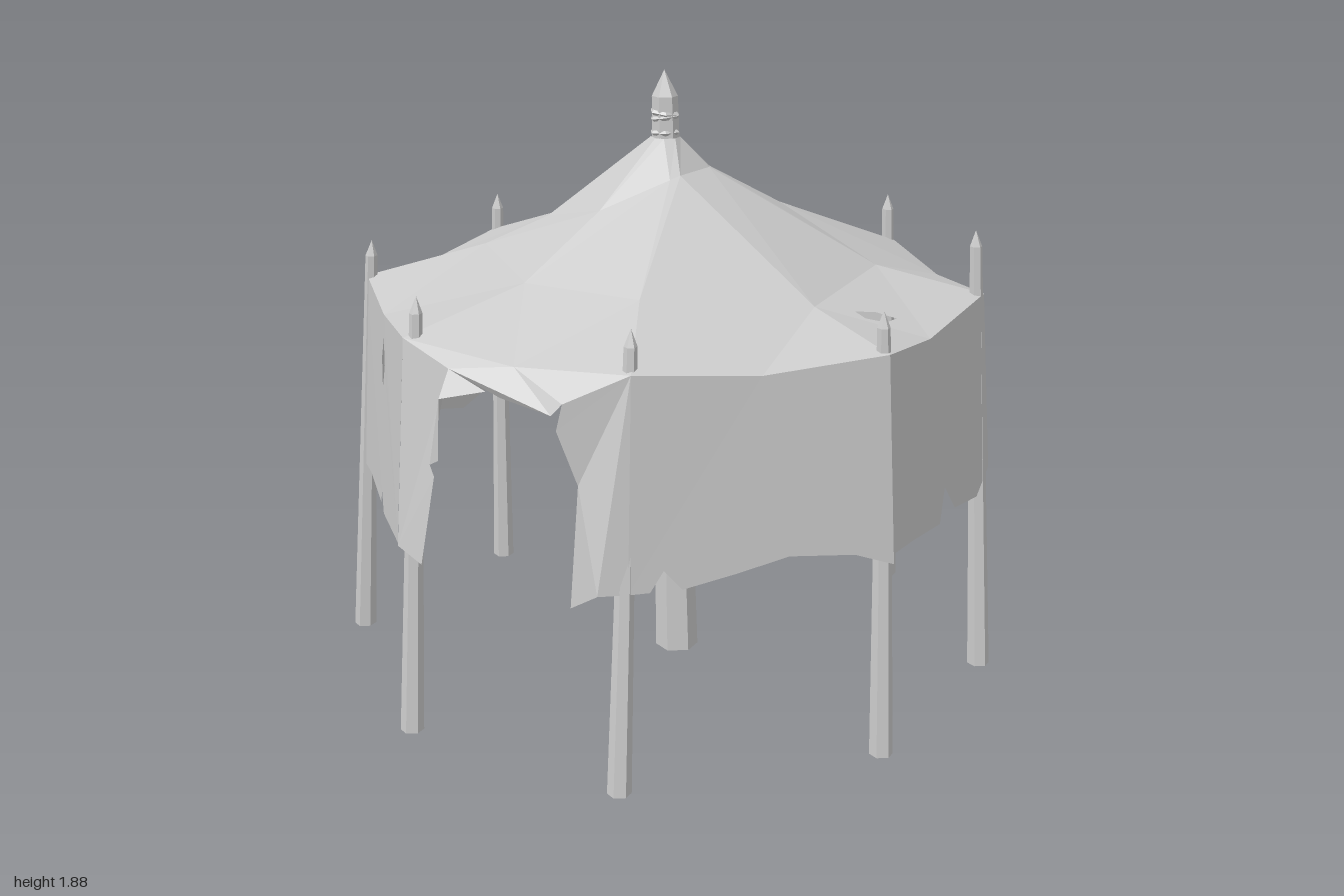
import * as THREE from 'three';

const EAVE = 1.21, HEM = 0.6;
const V = (x, y, z) => new THREE.Vector3(x, y, z);
const cloth = new THREE.MeshStandardMaterial({ color: 0xcccccc, flatShading: true, side: THREE.DoubleSide });
const wood = new THREE.MeshStandardMaterial({ color: 0xcccccc, flatShading: true });

// Corners of the eight-sided canopy (x, z), clockwise from the back: eave and hem
const eave = [[-0.33, -0.96], [0.42, -0.94], [0.92, -0.4], [0.9, 0.35], [0.35, 0.85], [-0.4, 0.82], [-0.9, 0.27], [-0.88, -0.47]];
const hem = [[-0.34, -1.0], [0.43, -0.98], [0.96, -0.41], [0.94, 0.37], [0.36, 0.89], [-0.41, 0.87], [-0.93, 0.28], [-0.91, -0.49]];

// Sagging roof folds (x, y, z): upper and lower ring
const upper = [[0, 1.53, -0.3], [0.1, 1.58, -0.15], [0.11, 1.58, -0.13], [0.09, 1.58, 0.03], [0.07, 1.57, 0.06],
  [-0.09, 1.49, 0.21], [-0.35, 1.42, 0.07], [-0.2, 1.54, -0.16]];
const lower = [[-0.2, 1.35, -0.66], [0.23, 1.43, -0.4], [0.59, 1.28, -0.33], [0.6, 1.27, 0.18], [0.2, 1.32, 0.51],
  [-0.19, 1.32, 0.49], [-0.55, 1.32, 0.12], [-0.48, 1.36, -0.26]];

// Where each eave sags between its two corners
const sagAt = k => (k === 2 ? 0.6 : 0.5);

// Cuts a flat outline with holes into triangles and places them with map()
function sheet(outline, holes, map, out) {
  const flat = list => list.map(p => new THREE.Vector2(p[0], p[1]));
  const all = [outline, ...holes].flat().map(map);
  for (const f of THREE.ShapeUtils.triangulateShape(flat(outline), holes.map(flat)))
    for (const i of f) out.push(all[i]);
}

function clothMesh(name, points) {
  const geo = new THREE.BufferGeometry().setFromPoints(points);
  geo.computeVertexNormals();
  const mesh = new THREE.Mesh(geo, cloth);
  mesh.name = name;
  return mesh;
}

// Point on wall k: u runs along the wall, y is the height
function wallPoint(k, u, y) {
  const n = (k + 1) % 8, t = (EAVE - y) / (EAVE - HEM);
  const mix = i => THREE.MathUtils.lerp(
    THREE.MathUtils.lerp(eave[k][i], eave[n][i], u),
    THREE.MathUtils.lerp(hem[k][i], hem[n][i], u), t);
  return V(mix(0), y, mix(1));
}

// Triangle of roof cloth, with an optional tear given in x, z
function roofFace(a, b, c, out, tear) {
  if (!tear) { out.push(a, c, b); return; }
  const n = b.clone().sub(a).cross(c.clone().sub(a));
  const height = (x, z) => a.y - (n.x * (x - a.x) + n.z * (z - a.z)) / n.y;
  sheet([a, b, c].map(p => [p.x, p.z]), [tear], p => V(p[0], height(p[0], p[1]), p[1]), out);
}

function makeRoof() {
  const out = [];
  const peak = lower.map(p => {
    const d = V(p[0] + 0.01, 0, p[2] + 0.07).normalize();
    return V(-0.01 + d.x * 0.045, 1.675, -0.07 + d.z * 0.045);
  });
  const up = upper.map(p => V(...p)), low = lower.map(p => V(...p));
  const topTear = [[-0.145, -0.52], [-0.1, -0.46], [-0.07, -0.36], [-0.11, -0.34], [-0.15, -0.44]];
  const eaveTears = {
    0: [[0.02, -0.86], [0.03, -0.91], [0.052, -0.88]],
    2: [[0.69, 0.09], [0.73, 0.03], [0.79, 0.01], [0.78, 0.07], [0.73, 0.105]],
  };
  for (let k = 0; k < 8; k++) {
    const n = (k + 1) % 8;
    const a = wallPoint(k, 0, EAVE), b = wallPoint(k, 1, EAVE), m = wallPoint(k, sagAt(k), 1.18);
    roofFace(peak[k], up[k], up[n], out);
    roofFace(peak[k], up[n], peak[n], out);
    roofFace(up[k], low[k], low[n], out);
    roofFace(up[k], low[n], up[n], out);
    if (k === 7) { // this fold runs the other way and carries the long tear
      out.splice(-6);
      roofFace(up[7], low[0], up[0], out, topTear);
      roofFace(up[7], low[7], low[0], out);
    }
    roofFace(low[k], a, m, out);
    roofFace(low[k], m, low[n], out, eaveTears[k]);
    roofFace(low[n], m, b, out);
  }
  return clothMesh('roof', out);
}

// Ragged lower edges of the walls as [u, y]; the front (4) is the entrance
const hems = [
  [[0, 0.6], [0.15, 0.63], [0.33, 0.63], [0.4, 0.68], [0.45, 0.63], [0.7, 0.6], [0.85, 0.62], [1, 0.59]],
  [[0, 0.59], [0.13, 0.6], [0.18, 0.74], [0.24, 0.66], [0.5, 0.6], [0.75, 0.63], [1, 0.65]],
  [[0, 0.65], [0.14, 0.585], [0.38, 0.61], [0.48, 0.7], [0.54, 0.6], [0.8, 0.62], [1, 0.63]],
  [[0, 0.6], [0.15, 0.64], [0.4, 0.655], [0.6, 0.62], [0.8, 0.59], [0.87, 0.65], [0.92, 0.59], [1, 0.59]],
  null,
  [[0, 0.6], [0.4, 0.575], [0.46, 0.63], [0.48, 0.59], [0.8, 0.6], [1, 0.58]],
  [[0, 0.58], [0.2, 0.62], [0.4, 0.6], [0.55, 0.64], [0.75, 0.6], [1, 0.64]],
  [[0, 0.64], [0.2, 0.6], [0.5, 0.63], [0.62, 0.59], [0.68, 0.66], [0.8, 0.61], [1, 0.6]],
];

function makeWalls() {
  const walls = new THREE.Group();
  walls.name = 'walls';
  const slit = [[0.49, 1.11], [0.45, 1.03], [0.49, 0.95], [0.53, 1.04]];
  hems.forEach((edge, k) => {
    if (!edge) return;
    const out = [];
    const outline = [[0, EAVE], [sagAt(k), 1.18], [1, EAVE], ...edge.slice().reverse()];
    sheet(outline, k === 5 ? [slit] : [], p => wallPoint(k, p[0], p[1]), out);
    walls.add(clothMesh('wallPanel', out));
  });
  return walls;
}

// Entrance: torn valance between two hanging flaps, points as [x, y, z]
function makeEntrance() {
  const parts = {
    valance: [[0.35, 1.21, 0.85], [-0.025, 1.18, 0.835], [-0.4, 1.21, 0.82], [-0.23, 1.15, 0.85],
      [-0.05, 1.095, 0.87], [0.14, 1.085, 0.92], [0.17, 1.12, 0.91]],
    leftFlap: [[0.35, 1.21, 0.85], [0.17, 1.12, 0.91], [0.15, 1.04, 0.91], [0.2, 0.88, 0.88],
      [0.24, 0.57, 1.0], [0.29, 0.59, 0.94], [0.36, 0.59, 0.89]],
    rightFlap: [[-0.4, 1.21, 0.82], [-0.23, 1.15, 0.85], [-0.1, 1.105, 0.865], [-0.24, 1.07, 0.89], [-0.255, 0.88, 0.88],
      [-0.29, 0.86, 0.87], [-0.27, 0.83, 0.88], [-0.31, 0.56, 0.9], [-0.41, 0.59, 0.87]],
  };
  const group = new THREE.Group();
  group.name = 'entrance';
  for (const [name, outline] of Object.entries(parts)) {
    const out = [];
    sheet(outline, [], p => V(...p), out);
    group.add(clothMesh(name, out));
  }
  return group;
}

// Leaning post with a level foot and a pointed tip
function makePost(name, foot, top, height, rFoot, rTop, tip, sides) {
  const shaft = height - tip;
  const profile = [[0, 0], [rFoot, 0], [rTop, shaft], [0, height]].map(p => new THREE.Vector2(...p));
  const geo = new THREE.LatheGeometry(profile, sides);
  const sx = (top[0] - foot[0]) / height, sz = (top[1] - foot[1]) / height;
  geo.applyMatrix4(new THREE.Matrix4().set(1, sx, 0, foot[0], 0, 1, 0, 0, 0, sz, 1, foot[1], 0, 0, 0, 1));
  const mesh = new THREE.Mesh(geo, wood);
  mesh.name = name;
  return mesh;
}

export function createModel() {
  const model = new THREE.Group();
  model.name = 'canopyTent';
  model.add(makeRoof(), makeWalls(), makeEntrance());

  // Outer posts: foot x, z, top x, z, height
  const posts = [
    [-0.32, -0.94, -0.32, -0.93, 1.37], [0.435, -0.93, 0.4, -0.92, 1.37], [0.97, -0.36, 0.89, -0.385, 1.41],
    [0.92, 0.37, 0.87, 0.33, 1.33], [0.35, 0.93, 0.33, 0.81, 1.33], [-0.39, 0.86, -0.37, 0.79, 1.33],
    [-0.965, 0.27, -0.87, 0.28, 1.33], [-0.87, -0.47, -0.85, -0.45, 1.34]];
  for (const [fx, fz, tx, tz, h] of posts)
    model.add(makePost('outerPost', [fx, fz], [tx, tz], h, 0.035, 0.019, 0.05, 6));

  // Centre pole and its rope wrapping
  model.add(makePost('centrePole', [0.04, -0.055], [-0.015, -0.07], 1.88, 0.068, 0.04, 0.08, 6));
  for (const [y, tilt] of [[1.69, 0.03], [1.735, 0.15], [1.75, -0.12]]) {
    const ring = new THREE.Mesh(new THREE.TorusGeometry(0.041, 0.008, 4, 6), wood);
    ring.name = 'ropeRing';
    ring.position.set(-0.012, y, -0.069);
    ring.rotation.set(Math.PI / 2, tilt, 0);
    model.add(ring);
  }
  return model;
}
